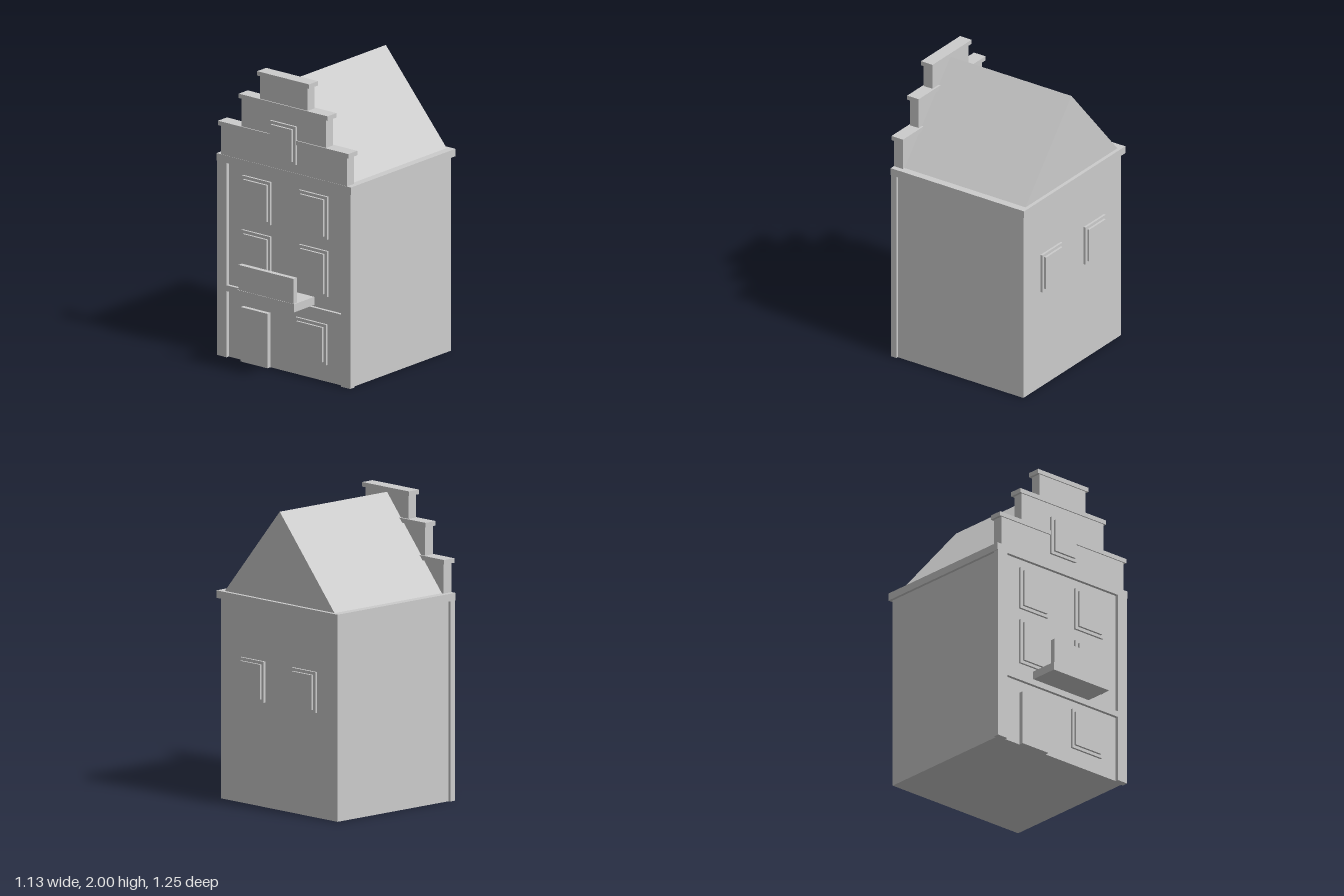
import * as THREE from 'three';

export function createModel() {
  const model = new THREE.Group();
  model.name = 'townHouse';
  const plaster = new THREE.MeshStandardMaterial({ color: 0xcccccc });
  plaster.name = 'light grey plaster';

  // Box given by its limits on each axis
  function box(name, x0, x1, y0, y1, z0, z1, parent = model) {
    const mesh = new THREE.Mesh(new THREE.BoxGeometry(x1 - x0, y1 - y0, z1 - z0), plaster);
    mesh.position.set((x0 + x1) / 2, (y0 + y1) / 2, (z0 + z1) / 2);
    mesh.name = name;
    parent.add(mesh);
    return mesh;
  }

  // Window: frame with a raised pane, dir = +1 faces front, -1 faces back
  function window(name, cx, cy, w, h, wallZ, dir = 1) {
    const group = new THREE.Group();
    group.name = name;
    const layer = (part, inset, depth) => {
      const z = wallZ + dir * depth, back = wallZ - dir * 0.005;
      box(part, cx - w / 2 + inset, cx + w / 2 - inset, cy - h / 2 + inset, cy + h / 2 - inset,
        Math.min(z, back), Math.max(z, back), group);
    };
    layer('windowFrame', 0, 0.015);
    layer('windowPane', 0.02, 0.03);
    model.add(group);
  }

  // Main body, recessed facade, pilasters and floor band
  box('body', -0.545, 0.545, 0, 1.33, -0.595, 0.4);
  box('facade', -0.5, 0.5, 0, 1.32, 0.39, 0.42);
  for (const side of [-1, 1]) {
    const a = side * 0.48, b = side * 0.56;
    box('pilaster', Math.min(a, b), Math.max(a, b), 0, 1.32, 0.4, 0.442);
  }
  box('floorBand', -0.48, 0.48, 0.45, 0.49, 0.4, 0.442);

  // Eaves cornice around the house
  box('eaves', -0.565, 0.565, 1.32, 1.37, -0.615, 0.442);

  // Pitched roof with a vertical back gable
  const roofShape = new THREE.Shape();
  roofShape.moveTo(-0.512, 1.37);
  roofShape.lineTo(0.512, 1.37);
  roofShape.lineTo(0, 1.965);
  const roof = new THREE.Mesh(
    new THREE.ExtrudeGeometry(roofShape, { depth: 0.97, bevelEnabled: false }), plaster);
  roof.position.z = -0.59;
  roof.name = 'roof';
  model.add(roof);

  // Stepped gable: half width, bottom, top of each tier with its coping
  for (const [half, y0, y1] of [[0.53, 1.37, 1.595], [0.355, 1.595, 1.815], [0.2, 1.815, 2]]) {
    box('gableStep', -half, half, y0, y1 - 0.03, 0.37, 0.44);
    box('gableCoping', -half - 0.018, half + 0.018, y1 - 0.03, y1, 0.357, 0.448);
  }

  // Windows
  for (const side of [-1, 1]) {
    window('upperWindow', side * 0.239, 1.115, 0.24, 0.29, 0.42);
    window('middleWindow', side * 0.239, 0.735, 0.24, 0.31, 0.42);
    window('backWindow', side * 0.241, 0.825, 0.225, 0.27, -0.595, -1);
  }
  window('groundWindow', 0.22, 0.253, 0.26, 0.275, 0.42);
  window('gableWindow', 0, 1.56, 0.218, 0.26, 0.44);

  // Door
  box('door', -0.355, -0.13, 0, 0.37, 0.41, 0.45);

  // Balcony with a front parapet
  box('balconyFloor', -0.24, 0.24, 0.5, 0.555, 0.41, 0.625);
  box('balconyParapet', -0.231, 0.231, 0.555, 0.725, 0.587, 0.622);

  return model;
}
